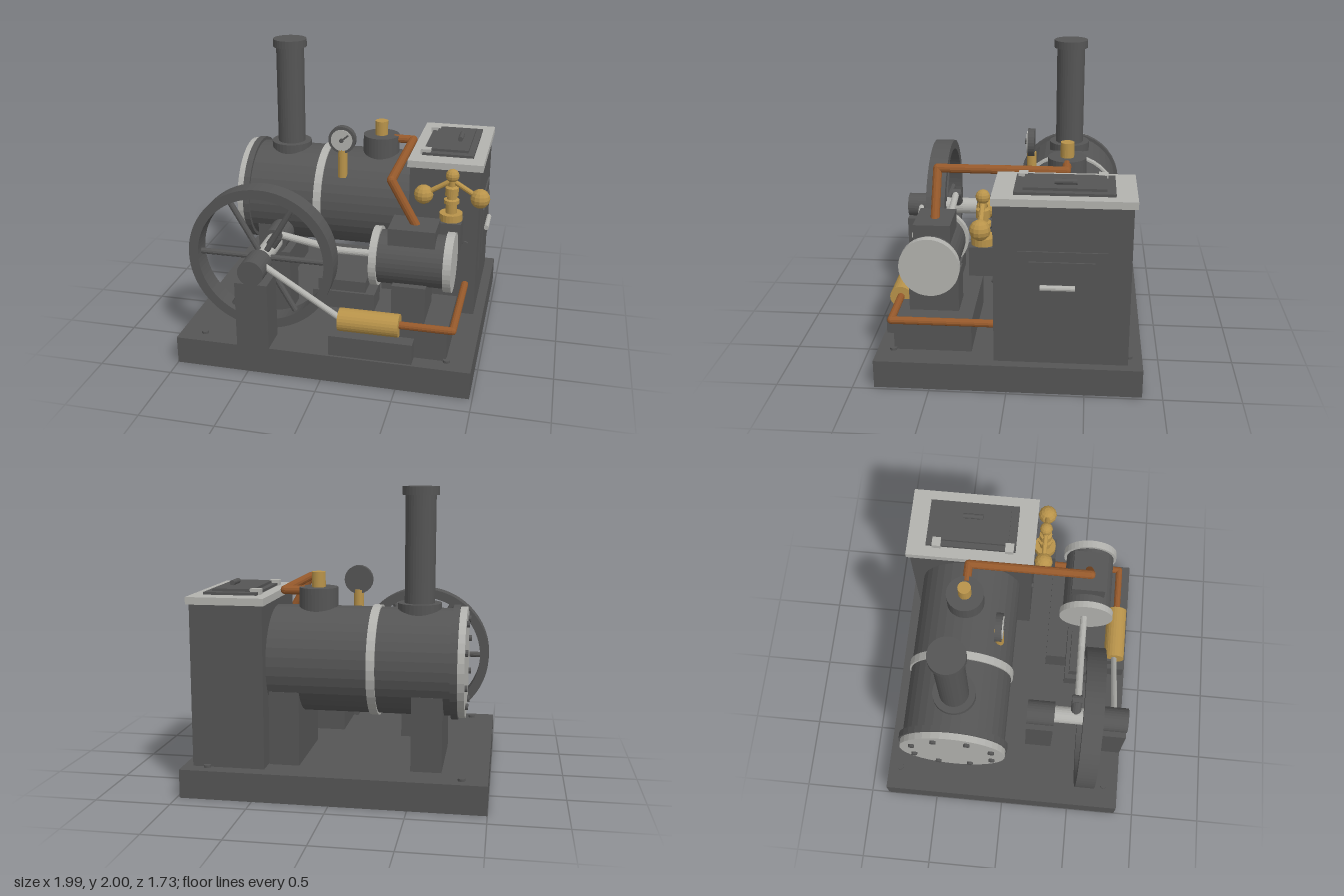
import * as THREE from 'three';

const material = (name, color) => {
  const m = new THREE.MeshStandardMaterial({ color });
  m.name = name;
  return m;
};

export function createModel() {
  const iron = material('dark iron', 0x555555);
  const steel = material('pale steel', 0xb2b2ae);
  const brass = material('brass', 0xb8934a);
  const copper = material('copper', 0x96592b);

  const model = new THREE.Group();
  model.name = 'steamEngine';

  // Faceted mesh helper
  const add = (name, geometry, mat, x = 0, y = 0, z = 0) => {
    const g = geometry.index ? geometry.toNonIndexed() : geometry;
    g.computeVertexNormals();
    const mesh = new THREE.Mesh(g, mat);
    mesh.name = name;
    mesh.position.set(x, y, z);
    model.add(mesh);
    return mesh;
  };

  // Box given by its extents on each axis
  const box = (name, mat, [x0, x1], [y0, y1], [z0, z1]) =>
    add(name, new THREE.BoxGeometry(x1 - x0, y1 - y0, z1 - z0), mat,
      (x0 + x1) / 2, (y0 + y1) / 2, (z0 + z1) / 2);

  // Cylinder running from point a to point b
  const rod = (name, mat, a, b, radius, sides = 16, endRadius = radius) => {
    const p = new THREE.Vector3(...a), q = new THREE.Vector3(...b);
    const dir = q.clone().sub(p);
    const mid = p.clone().add(q).multiplyScalar(0.5);
    const mesh = add(name, new THREE.CylinderGeometry(endRadius, radius, dir.length(), sides), mat, mid.x, mid.y, mid.z);
    mesh.quaternion.setFromUnitVectors(new THREE.Vector3(0, 1, 0), dir.normalize());
    return mesh;
  };

  const ball = (name, mat, p, r, w = 12, h = 8) =>
    add(name, new THREE.SphereGeometry(r, w, h), mat, ...p);

  // Pipe with rounded elbows through a list of points
  const pipe = (name, mat, points, r) => {
    for (let i = 1; i < points.length; i++) {
      rod(name, mat, points[i - 1], points[i], r, 12);
      if (i < points.length - 1) ball(name + 'Elbow', mat, points[i], r, 12, 8);
    }
  };

  // Base plate and its bolts
  box('basePlate', iron, [-1, 0.98], [0, 0.19], [-0.87, 0.86]);
  for (const x of [-0.835, 0.815])
    for (const z of [-0.785, 0.755]) rod('baseBolt', iron, [x, 0.19, z], [x, 0.207, z], 0.024, 12);

  // Boiler barrel, end plate, band and saddles
  const by = 0.855, bz = -0.35;
  const alongX = (name, mat, x0, x1, r, y, z, sides = 36) => rod(name, mat, [x0, y, z], [x1, y, z], r, sides);
  alongX('boiler', iron, -0.78, 0.5, 0.355, by, bz);
  alongX('boilerEndRing', iron, -0.79, -0.745, 0.378, by, bz);
  alongX('boilerEndPlate', steel, -0.835, -0.79, 0.366, by, bz);
  alongX('boilerBand', steel, -0.27, -0.215, 0.368, by, bz);
  for (let i = 0; i < 8; i++) {
    const a = (i + 0.5) * Math.PI / 4;
    alongX('endPlateBolt', iron, -0.853, -0.835, 0.021, by + 0.295 * Math.sin(a), bz + 0.295 * Math.cos(a), 10);
  }
  for (const x of [-0.7, 0.23])
    box('boilerSaddle', iron, [x, x + 0.2], [0.19, 0.68], [-0.66, -0.04]);

  // Chimney
  rod('chimney', iron, [-0.52, 1.18, bz], [-0.52, 1.95, bz], 0.1, 32);
  rod('chimneyFoot', iron, [-0.52, 1.16, bz], [-0.52, 1.245, bz], 0.145, 32);
  rod('chimneyCap', iron, [-0.52, 1.945, bz], [-0.52, 2, bz], 0.12, 32);

  // Steam dome and valve
  rod('steamDome', iron, [0.155, 1.15, bz], [0.155, 1.335, bz], 0.13, 32);
  rod('domeValve', brass, [0.155, 1.335, bz], [0.155, 1.437, bz], 0.046, 20);

  // Pressure gauge
  rod('gaugeStem', brass, [-0.075, 1.08, -0.095], [-0.075, 1.29, -0.095], 0.034, 16);
  rod('gaugeCase', iron, [-0.075, 1.36, -0.117], [-0.075, 1.36, -0.07], 0.097, 28);
  rod('gaugeFace', steel, [-0.075, 1.36, -0.07], [-0.075, 1.36, -0.062], 0.077, 28);
  const needle = add('gaugeNeedle', new THREE.BoxGeometry(0.075, 0.012, 0.008), iron, -0.055, 1.376, -0.058);
  needle.rotation.z = 0.7;
  rod('needleHub', iron, [-0.075, 1.36, -0.062], [-0.075, 1.36, -0.05], 0.015, 12);

  // Firebox, lid and hatch
  box('firebox', iron, [0.437, 0.915], [0.19, 1.265], [-0.775, 0.085]);
  box('fireboxLid', steel, [0.42, 0.932], [1.26, 1.308], [-0.797, 0.096]);
  box('hatchFrame', iron, [0.5, 0.853], [1.308, 1.325], [-0.665, -0.037]);
  box('hatchPanel', iron, [0.54, 0.81], [1.325, 1.342], [-0.61, -0.092]);
  rod('hatchHandle', iron, [0.73, 1.358, -0.425], [0.73, 1.358, -0.285], 0.018, 12);
  for (const z of [-0.59, -0.08])
    box('hatchHinge', steel, [0.487, 0.555], [1.308, 1.345], [z - 0.03, z + 0.03]);

  // Fire door on the side
  box('fireDoorFrame', iron, [0.91, 0.925], [0.465, 0.965], [-0.625, -0.068]);
  box('fireDoor', iron, [0.925, 0.936], [0.57, 0.9], [-0.548, -0.14]);
  rod('fireDoorHandle', steel, [0.95, 0.735, -0.428], [0.95, 0.735, -0.21], 0.018, 12);
  for (const x of [0.52, 0.835])
    for (const y of [0.73, 1.1]) rod('fireboxBolt', iron, [x, y, 0.08], [x, y, 0.1], 0.02, 12);

  // Crankshaft, bearings and pedestals
  const wx = -0.46, wy = 0.725;
  for (const z of [0.14, 0.665]) {
    box('bearingPedestal', iron, [-0.57, -0.35], [0.19, 0.65], [z, z + 0.195]);
    rod('bearing', iron, [wx, wy, z], [wx, wy, z + 0.195], 0.087, 28);
  }
  rod('crankshaft', steel, [wx, wy, 0.15], [wx, wy, 0.8], 0.06, 24);

  // Flywheel rim and spokes
  const rim = new THREE.Shape().absarc(0, 0, 0.5, 0, Math.PI * 2);
  rim.holes.push(new THREE.Path().absarc(0, 0, 0.435, 0, Math.PI * 2, true));
  add('flywheelRim', new THREE.ExtrudeGeometry(rim, { depth: 0.135, bevelEnabled: false, curveSegments: 40 }), iron, wx, wy, 0.52);
  for (let i = 0; i < 6; i++) {
    const a = i * Math.PI / 3, c = Math.cos(a), s = Math.sin(a);
    rod('flywheelSpoke', iron, [wx + 0.04 * c, wy + 0.04 * s, 0.588], [wx + 0.45 * c, wy + 0.45 * s, 0.588], 0.02, 10);
  }

  // Crank, connecting rod and piston rod
  rod('crank', iron, [wx, wy, 0.485], [-0.375, 0.855, 0.485], 0.038, 14);
  rod('crankPin', iron, [-0.375, 0.855, 0.45], [-0.375, 0.855, 0.52], 0.032, 14);
  rod('connectingRod', steel, [-0.37, 0.853, 0.49], [0.04, 0.78, 0.49], 0.025, 14);
  rod('pistonRod', steel, [0.04, 0.78, 0.49], [0.3, 0.78, 0.49], 0.025, 14);

  // Cylinder block, guide, cylinder and steam chest
  box('cylinderBase', iron, [0.087, 0.81], [0.19, 0.4], [0.24, 0.75]);
  box('guideBase', iron, [-0.12, 0.3], [0.4, 0.52], [0.39, 0.58]);
  box('guideBar', iron, [-0.085, 0.235], [0.52, 0.595], [0.42, 0.56]);
  box('cylinderPedestal', iron, [0.43, 0.65], [0.4, 0.65], [0.34, 0.67]);
  alongX('cylinder', iron, 0.3, 0.79, 0.175, 0.78, 0.505);
  alongX('cylinderFlange', steel, 0.28, 0.328, 0.196, 0.78, 0.505);
  alongX('cylinderFlange', steel, 0.757, 0.81, 0.196, 0.78, 0.505);
  box('steamChest', iron, [0.39, 0.695], [0.88, 1.025], [0.38, 0.62]);

  // Steam pipe from the dome to the chest
  pipe('steamPipe', copper, [[0.25, 1.31, bz], [0.387, 1.31, bz], [0.387, 1.31, 0.497], [0.56, 1.0, 0.497]], 0.03);

  // Governor
  const gx = 0.737, gz = 0.16;
  box('governorBracket', iron, [0.657, 0.815], [0.74, 0.935], [0.08, 0.245]);
  const profile = [[0, 0.935], [0.078, 0.935], [0.078, 0.985], [0.038, 0.985], [0.038, 1.05], [0.052, 1.055],
    [0.052, 1.08], [0.032, 1.085], [0.032, 1.105], [0.045, 1.11], [0.045, 1.165], [0.025, 1.175], [0.025, 1.24], [0, 1.24]];
  add('governorColumn', new THREE.LatheGeometry(profile.map(p => new THREE.Vector2(...p)), 20), brass, gx, 0, gz);
  ball('governorTop', brass, [gx, 1.248, gz], 0.046);
  for (const s of [-1, 1]) {
    rod('governorArm', brass, [gx, 1.215, gz], [gx + s * 0.19, 1.1, gz], 0.017, 10);
    ball('governorBall', brass, [gx + s * 0.19, 1.1, gz], 0.066);
  }

  // Feed pump, its drive rod and feed pipe
  box('pumpBase', iron, [0.05, 0.6], [0.19, 0.33], [0.67, 0.843]);
  alongX('feedPump', brass, 0.105, 0.503, 0.076, 0.415, 0.757, 24);
  rod('pumpRod', steel, [-0.4, 0.745, 0.757], [0.12, 0.415, 0.757], 0.021, 14);
  pipe('feedPipe', copper, [[0.49, 0.42, 0.757], [0.845, 0.42, 0.757], [0.845, 0.42, 0.07]], 0.025);

  return model;
}
